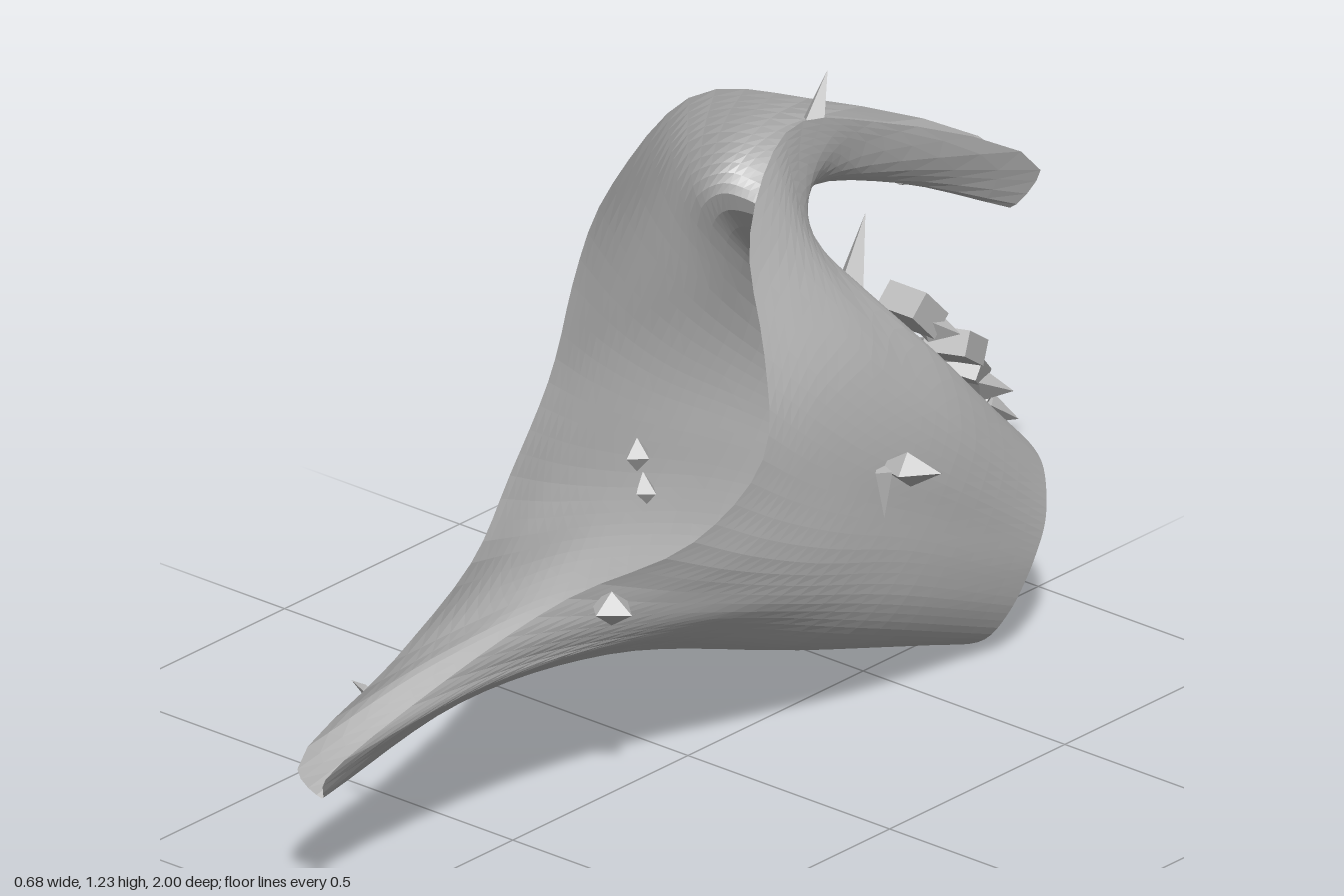
import * as THREE from 'three';

// Lines running from the flat base to the rim: [half width, y, z] per point.
const spoutLines = [
  [[0, 0, -.68], [0, .13, -.25], [0, .265, .2], [0, .3, .6], [0, .23, .97]],
  [[.09, .008, -.685], [.13, .16, -.25], [.09, .31, .2], [.055, .34, .6], [.035, .29, 1]],
  [[.16, .035, -.7], [.195, .2, -.28], [.16, .33, .1], [.1, .38, .42], [.065, .4, .7]],
  [[.195, .09, -.725], [.235, .26, -.32], [.225, .36, -.02], [.175, .43, .22], [.12, .49, .42]],
];
const sideLines = [
  [[.21, .15, -.755], [.25, .33, -.38], [.26, .42, -.12], [.25, .49, .05], [.228, .56, .19]],
  [[.215, .2, -.78], [.25, .4, -.45], [.265, .52, -.22], [.267, .61, -.07], [.266, .69, .04]],
  [[.21, .25, -.81], [.25, .47, -.5], [.262, .62, -.28], [.257, .76, -.12], [.238, .88, -.005]],
  [[.192, .3, -.835], [.235, .54, -.55], [.235, .74, -.33], [.21, .92, -.17], [.17, 1.09, -.055]],
];
const handleLines = [
  [[.157, .347, -.86], [.185, .66, -.56], [.15, .97, -.275], [.13, 1.13, -.22], [.12, 1.228, -.21]],
  [[.1, .375, -.875], [.135, .61, -.63], [.13, .82, -.43], [.105, 1.01, -.285],
    [.095, 1.085, -.32], [.087, 1.13, -.4], [.08, 1.14, -.5]],
  [[.05, .385, -.88], [.07, .62, -.64], [.07, .84, -.43], [.052, 1.01, -.295],
    [.055, 1.05, -.37], [.05, 1.01, -.55], [.037, .86, -1]],
  [[0, .385, -.88], [0, .62, -.64], [0, .84, -.43], [0, 1, -.3],
    [0, 1.02, -.4], [0, .94, -.65], [0, .79, -.95]],
];

// The body leans slightly to one side along its length and towards the neck.
const centreX = (y, z) => -.045 - .02 * z - .02 * THREE.MathUtils.smoothstep(y, .75, 1.05);

function shellGeometry(rows, cols) {
  const lines = [...spoutLines, ...sideLines, ...handleLines]
    .map(line => new THREE.CatmullRomCurve3(line.map(p => new THREE.Vector3(...p))));
  const positions = [], indices = [];
  for (let r = 0; r <= rows; r++) {
    const half = lines.map(line => line.getPoint(r / rows));
    const mirrored = half.slice(1, -1).reverse().map(p => new THREE.Vector3(-p.x, p.y, p.z));
    const ring = new THREE.CatmullRomCurve3([...half, ...mirrored], true);
    for (let c = 0; c < cols; c++) {
      const p = ring.getPoint(c / cols);
      positions.push(p.x + centreX(p.y, p.z), Math.max(0, p.y), p.z);
    }
  }
  for (let r = 0; r < rows; r++) {
    for (let c = 0; c < cols; c++) {
      const a = r * cols + c, b = r * cols + (c + 1) % cols;
      indices.push(a, b, a + cols, b, b + cols, a + cols);
    }
  }
  // Flat base
  const centre = positions.length / 3;
  positions.push(centreX(.19, -.78), .19, -.78);
  for (let c = 0; c < cols; c++) indices.push(centre, (c + 1) % cols, c);

  const geometry = new THREE.BufferGeometry();
  geometry.setAttribute('position', new THREE.Float32BufferAttribute(positions, 3));
  geometry.setIndex(indices);
  geometry.computeVertexNormals();
  return geometry;
}

export function createModel() {
  const group = new THREE.Group();
  const grey = new THREE.MeshStandardMaterial({ color: 0xbcbcbc, flatShading: true, side: THREE.DoubleSide });
  grey.name = 'grey';

  const shell = new THREE.Mesh(shellGeometry(24, 88), grey);
  shell.name = 'scoopShell';
  group.add(shell);

  const addPart = (name, geometry, position, scale, rotation = [0, 0, 0]) => {
    const mesh = new THREE.Mesh(geometry, grey);
    mesh.name = name;
    mesh.position.set(...position);
    mesh.scale.set(...scale);
    mesh.rotation.set(...rotation);
    group.add(mesh);
  };
  const chip = new THREE.OctahedronGeometry(1);
  const spike = new THREE.ConeGeometry(1, 2, 4);
  const block = new THREE.BoxGeometry(2, 2, 2);

  // Small shards on the sides
  addPart('leftShard', chip, [.27, .56, -.32], [.07, .035, .04], [0, .2, .1]);
  addPart('leftShardSpike', spike, [.235, .51, -.29], [.02, .05, .025], [0, 0, Math.PI]);
  addPart('spoutShard', chip, [.115, .46, .35], [.05, .035, .045]);
  addPart('rightShard', chip, [-.305, .38, -.22], [.035, .04, .03]);
  addPart('rightShardUpper', chip, [-.3, .46, -.2], [.03, .035, .03]);
  addPart('spoutFlake', chip, [-.18, .33, .715], [.035, .012, .005], [0, 0, -.3]);

  // Shards lying in the handle channel, and a spike over its edge
  addPart('handleSpike', spike, [-.07, 1.18, -.46], [.025, .05, .025], [-.4, 0, 0]);
  for (let i = 0; i < 4; i++) {
    addPart('channelShard', chip, [-.065 + .012 * (i % 2), 1.1 - .05 * i, -.4 - .09 * i],
      [.025, .04, .04], [.5, i * .7, .2]);
  }

  // Spike on the back wall
  addPart('backSpike', spike, [.02, .88, -.46], [.035, .08, .035], [-.3, 0, 0]);

  // Crust of blocks down the back wall
  for (let i = 0; i < 8; i++) {
    const t = i / 7;
    addPart('backCrust', i % 2 ? chip : block,
      [.035 - .045 * t + .03 * (i % 3 - 1), .7 - .29 * t, -.635 - .235 * t],
      i % 2 ? [.06, .03, .055] : [.045, .028 - .01 * t, .045], [-.8 + .1 * (i % 3), .1 * i, .1 * (i % 3)]);
  }

  // Shard poking into the hollow
  addPart('innerLedge', chip, [-.03, .755, -.46], [.1, .028, .06]);
  addPart('innerSpike', spike, [-.05, .69, -.43], [.02, .05, .02], [Math.PI, 0, 0]);
  return group;
}
